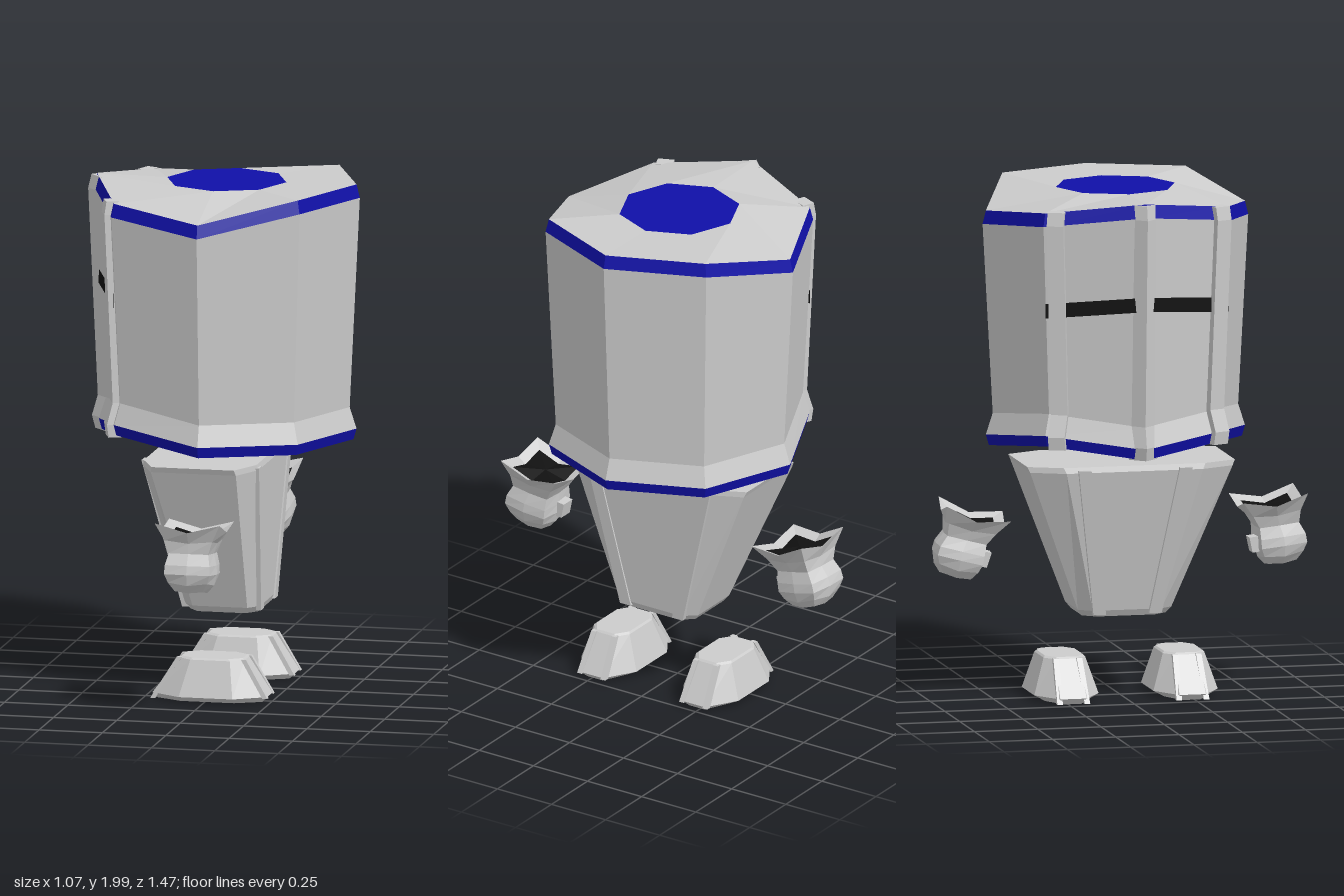
import * as THREE from 'three';

const grey = new THREE.MeshStandardMaterial({ color: 0xcccccc, flatShading: true, side: THREE.DoubleSide });
const blue = new THREE.MeshStandardMaterial({ color: 0x1010a8, flatShading: true, side: THREE.DoubleSide });
const black = new THREE.MeshStandardMaterial({ color: 0x111111, flatShading: true, side: THREE.DoubleSide });

// Skin a stack of rings (bottom to top), optionally capped with fans
function loft(name, rings, mat, { bottom = true, top = true, open = false } = {}) {
  const pos = [];
  const tri = (...p) => p.forEach(v => pos.push(...v));
  const n = rings[0].length;
  for (let r = 0; r < rings.length - 1; r++) {
    for (let i = 0; i < (open ? n - 1 : n); i++) {
      const j = (i + 1) % n;
      const a = rings[r][i], b = rings[r][j], c = rings[r + 1][i], d = rings[r + 1][j];
      tri(a, c, b);
      tri(b, c, d);
    }
  }
  const cap = (ring, up) => {
    const mid = [0, 1, 2].map(k => ring.reduce((s, p) => s + p[k], 0) / n);
    ring.forEach((p, i) => {
      const q = ring[(i + 1) % n];
      up ? tri(mid, q, p) : tri(mid, p, q);
    });
  };
  if (bottom) cap(rings[0], false);
  if (top) cap(rings[rings.length - 1], true);
  const geo = new THREE.BufferGeometry();
  geo.setAttribute('position', new THREE.Float32BufferAttribute(pos, 3));
  geo.computeVertexNormals();
  const mesh = new THREE.Mesh(geo, mat);
  mesh.name = name;
  return mesh;
}

// Rectangular bar through points, its outer side facing the given angle
function bar(name, points, angle, w, d, mat = grey) {
  const c = Math.cos(angle), s = Math.sin(angle);
  const corners = [[1, -1], [1, 1], [-1, 1], [-1, -1]];
  return loft(name, points.map(([x, y, z]) => corners.map(([u, t]) =>
    [x + (c * u * d - s * t * w) / 2, y, z + (s * u * d + c * t * w) / 2])), mat);
}

// Rectangle with chamfered corners
const chamfered = (cx, y, hx, hz, kx, kz) => [
  [hx, -hz + kz], [hx, hz - kz], [hx - kx, hz], [-hx + kx, hz],
  [-hx, hz - kz], [-hx, -hz + kz], [-hx + kx, -hz], [hx - kx, -hz],
].map(([x, z]) => [cx + x, y, z]);

// Octagonal helmet; rim heights are listed per corner
const CX = 0.01, CZ = -0.015;
const topY = [2, 2, 1.915, 1.955, 2, 1.955, 1.915, 2];
const lowY = [1, 1, 1, 1.045, 1, 1.045, 1, 1];
const corner = (k, r, y) => [CX + r * Math.cos(k * Math.PI / 4), y, CZ + r * Math.sin(k * Math.PI / 4)];
const oct = (r, heights, dy) => heights.map((y, k) => corner(k, r, y + dy));

function makeHelmet() {
  const g = new THREE.Group();
  g.name = 'helmet';
  const none = { bottom: false, top: false };
  const low = oct(0.5, lowY, 0), lowTop = oct(0.512, lowY, 0.042);
  const highLow = oct(0.525, topY, -0.052), high = oct(0.512, topY, 0);
  const disc = oct(0.235, Array(8).fill(1.996), 0);
  g.add(loft('lowerTrim', [low, lowTop], blue, none));
  g.add(loft('helmetShell', [lowTop, oct(0.485, lowY, 0.125), highLow], grey, none));
  g.add(loft('upperTrim', [highLow, high], blue, none));
  g.add(loft('helmetRoof', [high, disc], grey, none));
  g.add(loft('roofDisc', [disc.map(p => [p[0], 1.995, p[2]]), disc], blue, { bottom: false }));
  g.add(loft('helmetUnderside', [low, low.map(p => [CX + (p[0] - CX) * 0.4, 1.015, CZ + (p[2] - CZ) * 0.4])],
    grey, none));
  g.add(loft('helmetUndersideCentre', [oct(0.2, Array(8).fill(1.015), 0), oct(0.2, Array(8).fill(1.016), 0)], grey));

  // Eye slit across both face panels
  g.add(loft('eyeSlit', [0, 0.056].map(h =>
    [3, 4, 5].map(k => corner(k, 0.512, (k === 4 ? 1.58 : 1.545) + h))), black, { ...none, open: true }));

  // Upright strips at the cheeks, following the shell's bend
  const levels = [[0.505, 1.035], [0.513, 1.085], [0.487, 1.17], [0.524, 1.91], [0.515, 1.962]];
  for (const side of [3, 5]) {
    const path = levels.map(([r, y]) => {
      const a = corner(side, r, y), b = corner(4, r, y);
      return [0, 1, 2].map(i => a[i] + (b[i] - a[i]) * 0.12);
    });
    g.add(bar('cheekStrip', path, Math.PI + (side - 4) * Math.PI / 8, 0.065, 0.05));
  }

  // Wedge strip down the middle of the face
  const nose = [[0.497, 1], [0.51, 1.05], [0.487, 1.13], [0.525, 1.94], [0.512, 1.995]];
  g.add(loft('noseStrip', nose.map(([r, y]) => [
    [CX - r + 0.03, y, CZ + 0.055], [CX - r - 0.022, y, CZ], [CX - r + 0.03, y, CZ - 0.055],
  ]), grey));
  return g;
}

function makeBody() {
  const g = new THREE.Group();
  g.name = 'body';
  g.add(loft('torso', [
    chamfered(0.03, 0.335, 0.135, 0.165, 0.04, 0.05),
    chamfered(0.028, 0.36, 0.148, 0.185, 0.04, 0.05),
    chamfered(-0.028, 0.92, 0.228, 0.4, 0.06, 0.13),
    chamfered(-0.028, 0.942, 0.222, 0.41, 0.06, 0.13),
  ], grey));
  // Slanted straps on both broad sides
  for (const s of [-1, 1]) {
    g.add(bar('backStrap', [[0.172, 0.345, s * 0.12], [0.196, 0.93, s * 0.262]], 0, 0.05, 0.02));
    g.add(bar('chestStrap', [[-0.115, 0.345, s * 0.11], [-0.255, 0.93, s * 0.2]], Math.PI, 0.05, 0.035));
  }
  return g;
}

// Square ring with edge midpoints; lift raises the corners
const square = (h, y, dz = 0, lift = 0, round = 1) =>
  [[1, 0], [1, 1], [0, 1], [-1, 1], [-1, 0], [-1, -1], [0, -1], [1, -1]].map(([x, z]) => {
    const k = x && z ? h * round : h;
    return [x * k, y + (x && z ? lift : 0), dz + z * k];
  });

function makeHand(name) {
  const g = new THREE.Group();
  g.name = name;
  const rim = square(0.128, 0.118, 0, 0.033), inner = square(0.092, 0.098, 0, 0.025);
  g.add(loft('cuff', [square(0.083, 0.035, 0.012, 0, 0.94), square(0.094, 0.075, 0.005, 0.01), rim, inner],
    grey, { bottom: false, top: false }));
  g.add(loft('cuffOpening', [inner.map(p => [p[0], p[1] - 0.002, p[2]]), inner], black, { bottom: false }));
  g.add(loft('fist', [
    square(0.062, -0.118, 0.012, 0.006, 0.9),
    square(0.088, -0.088, 0.016, 0.01, 0.88),
    square(0.1, -0.045, 0.02, 0, 0.9),
    square(0.096, -0.01, 0.02, 0, 0.92),
    square(0.083, 0.035, 0.012, 0, 0.94),
  ], grey));
  g.add(bar('thumb', [[-0.02, -0.06, -0.08], [-0.02, 0.0, -0.085]], -Math.PI / 2, 0.06, 0.04));
  return g;
}

function makeFoot(z) {
  const g = new THREE.Group();
  g.name = 'foot';
  g.add(loft('shoe', [
    chamfered(0.01, 0.012, 0.205, 0.085, 0.1, 0.05),
    chamfered(0.012, 0.035, 0.226, 0.127, 0.12, 0.075),
    chamfered(0.02, 0.175, 0.128, 0.082, 0.05, 0.035),
    chamfered(0.02, 0.182, 0.12, 0.075, 0.05, 0.035),
  ], grey));
  // Ridges running up the toe and heel
  for (const s of [-1, 1]) {
    g.add(bar('toeRidge', [[-0.21, 0.015, s * 0.054], [-0.108, 0.178, s * 0.046]], Math.PI, 0.022, 0.02));
    g.add(bar('heelRidge', [[0.232, 0.03, s * 0.054], [0.146, 0.178, s * 0.046]], 0, 0.022, 0.02));
  }
  g.position.z = z;
  return g;
}

export function createModel() {
  const model = new THREE.Group();
  model.name = 'knight';
  model.add(makeHelmet(), makeBody(), makeFoot(0.238), makeFoot(-0.233));

  // Floating hands, each tilted outward
  const left = makeHand('frontHand');
  left.position.set(0.02, 0.62, 0.61);
  left.rotation.set(-0.12, 0, 0, 'YXZ');
  const right = makeHand('rearHand');
  right.position.set(0.025, 0.605, -0.605);
  right.rotation.set(-0.25, Math.PI - 0.1, 0, 'YXZ');
  model.add(left, right);
  return model;
}
